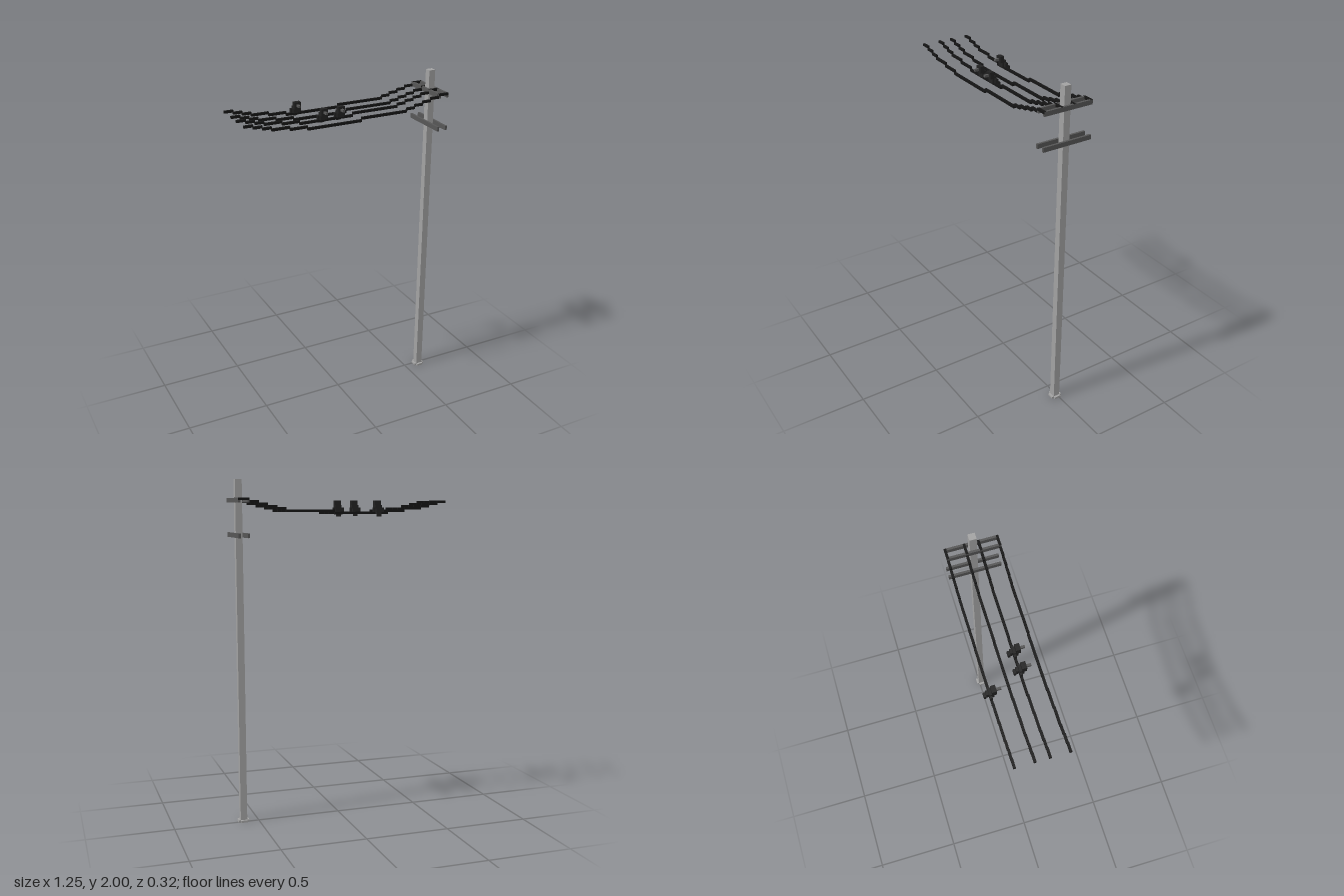
import * as THREE from 'three';

// Everything sits on a grid of small cubes of edge S.
const S = 2 / 154;
const X0 = -48 * S;
const Z0 = -12.5 * S;

const mat = (name, color) => {
  const m = new THREE.MeshStandardMaterial({ color });
  m.name = name;
  return m;
};

// Box between two grid corners [x, y, z]
function block(parent, name, material, a, b) {
  const size = a.map((v, i) => (b[i] - v) * S);
  const mesh = new THREE.Mesh(new THREE.BoxGeometry(...size), material);
  mesh.position.set(
    X0 + ((a[0] + b[0]) / 2) * S,
    ((a[1] + b[1]) / 2) * S,
    Z0 + ((a[2] + b[2]) / 2) * S
  );
  mesh.name = name;
  parent.add(mesh);
}

function group(parent, name) {
  const g = new THREE.Group();
  g.name = name;
  parent.add(g);
  return g;
}

export function createModel() {
  const model = new THREE.Group();
  model.name = 'utilityPole';
  const poleGrey = mat('poleGrey', 0xa2a2a2);
  const armGrey = mat('armGrey', 0x565656);
  const wireBlack = mat('wireBlack', 0x151515);
  const birdBlack = mat('birdBlack', 0x222222);

  // Square pole on a foot with cut corners
  block(model, 'pole', poleGrey, [92, 0, 12], [95, 154, 15]);
  const foot = group(model, 'foot');
  block(foot, 'footPlateLong', poleGrey, [91, 0, 12], [96, 1, 15]);
  block(foot, 'footPlateWide', poleGrey, [92, 0, 11], [95, 0.99, 16]);

  // Two pairs of cross arms clamping the pole
  for (const [level, y] of [['lower', 129], ['upper', 144]]) {
    for (const [side, x] of [['Inner', 91], ['Outer', 95]]) {
      block(model, level + 'Arm' + side, armGrey, [x, y, 2], [x + 1, y + 2, 25]);
    }
  }

  // Sagging wires in steps: [start x, height]
  const steps = [
    [0, 144], [4, 143], [8, 142], [12, 141], [20, 140], [28, 139],
    [53, 140], [75, 141], [79, 142], [83, 143], [87, 144], [91, 145],
  ];
  for (const z of [2, 10, 16, 24]) {
    const wire = group(model, 'wire' + z);
    steps.forEach(([x, y], i) => {
      const end = i + 1 < steps.length ? steps[i + 1][0] : 95.97;
      block(wire, 'wireStep', wireBlack, [x, y - 0.02, z - 0.02], [end, y + 1.02, z + 1.02]);
    });
  }

  // Perched birds: name, material, x range, y range, z range
  const birdParts = [
    ['tailTip', birdBlack, 2, 4, 138, 140, 0, 1],
    ['tail', birdBlack, 2, 4, 139, 141.5, 1, 2],
    ['wings', birdBlack, 0, 5, 140, 142, 2, 3],
    ['body', birdBlack, 1, 4, 140, 143, 2.01, 4],
    ['head', birdBlack, 1.01, 3.99, 142, 145, 3, 5],
    ['beak', armGrey, 2, 3, 143, 144, 5, 7],
  ];
  for (const [x, z] of [[30, 0], [36, 14], [44, 14]]) {
    const bird = group(model, 'bird');
    for (const [name, m, x0, x1, y0, y1, z0, z1] of birdParts) {
      block(bird, name, m, [x + x0, y0, z + z0], [x + x1, y1, z + z1]);
    }
  }
  return model;
}
